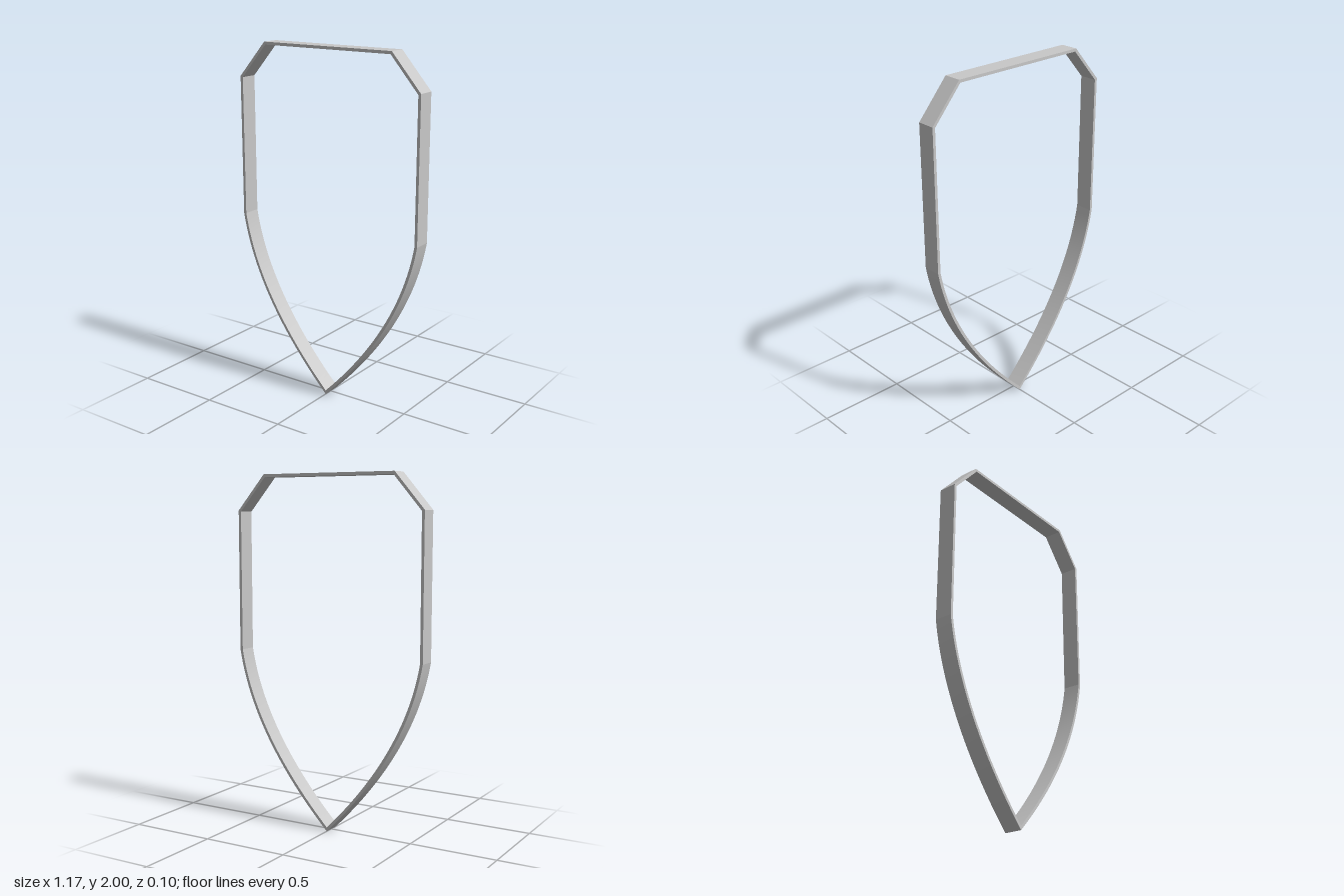
import * as THREE from 'three';
import { toCreasedNormals } from 'three/addons/utils/BufferGeometryUtils.js';

const WALL = 0.016, DEPTH = 0.102;

// Closed counter-clockwise outline: pointed base, curved flanks, chamfered top
function shieldOutline() {
  const flank = new THREE.QuadraticBezierCurve(
    new THREE.Vector2(0, 0), new THREE.Vector2(0.5, 0.5), new THREE.Vector2(0.585, 1)
  ).getPoints(24);
  const right = [...flank, new THREE.Vector2(0.585, 1.8), new THREE.Vector2(0.41, 2)];
  const left = right.slice(1).reverse().map(p => new THREE.Vector2(-p.x, p.y));
  return [...right, ...left];
}

// Mitred inward offset of a closed counter-clockwise outline
function inset(points, distance) {
  const n = points.length;
  const inward = (a, b) => {
    const d = b.clone().sub(a).normalize();
    return new THREE.Vector2(-d.y, d.x);
  };
  return points.map((p, i) => {
    const n1 = inward(points[(i + n - 1) % n], p);
    const n2 = inward(p, points[(i + 1) % n]);
    const scale = distance / (1 + n1.dot(n2));
    return p.clone().add(n1.add(n2).multiplyScalar(scale));
  });
}

export function createModel() {
  const group = new THREE.Group();
  group.name = 'shieldFrame';
  const grey = new THREE.MeshStandardMaterial({ color: 0xc8c8c8 });
  grey.name = 'light grey';

  // Thin rim, open front and back
  const outer = shieldOutline();
  const shape = new THREE.Shape(outer);
  shape.holes.push(new THREE.Path(inset(outer, WALL)));
  const geometry = new THREE.ExtrudeGeometry(shape, { depth: DEPTH, bevelEnabled: false });
  geometry.translate(0, 0, -DEPTH / 2);

  const rim = new THREE.Mesh(toCreasedNormals(geometry, 0.12), grey);
  rim.name = 'rim';
  group.add(rim);
  return group;
}
